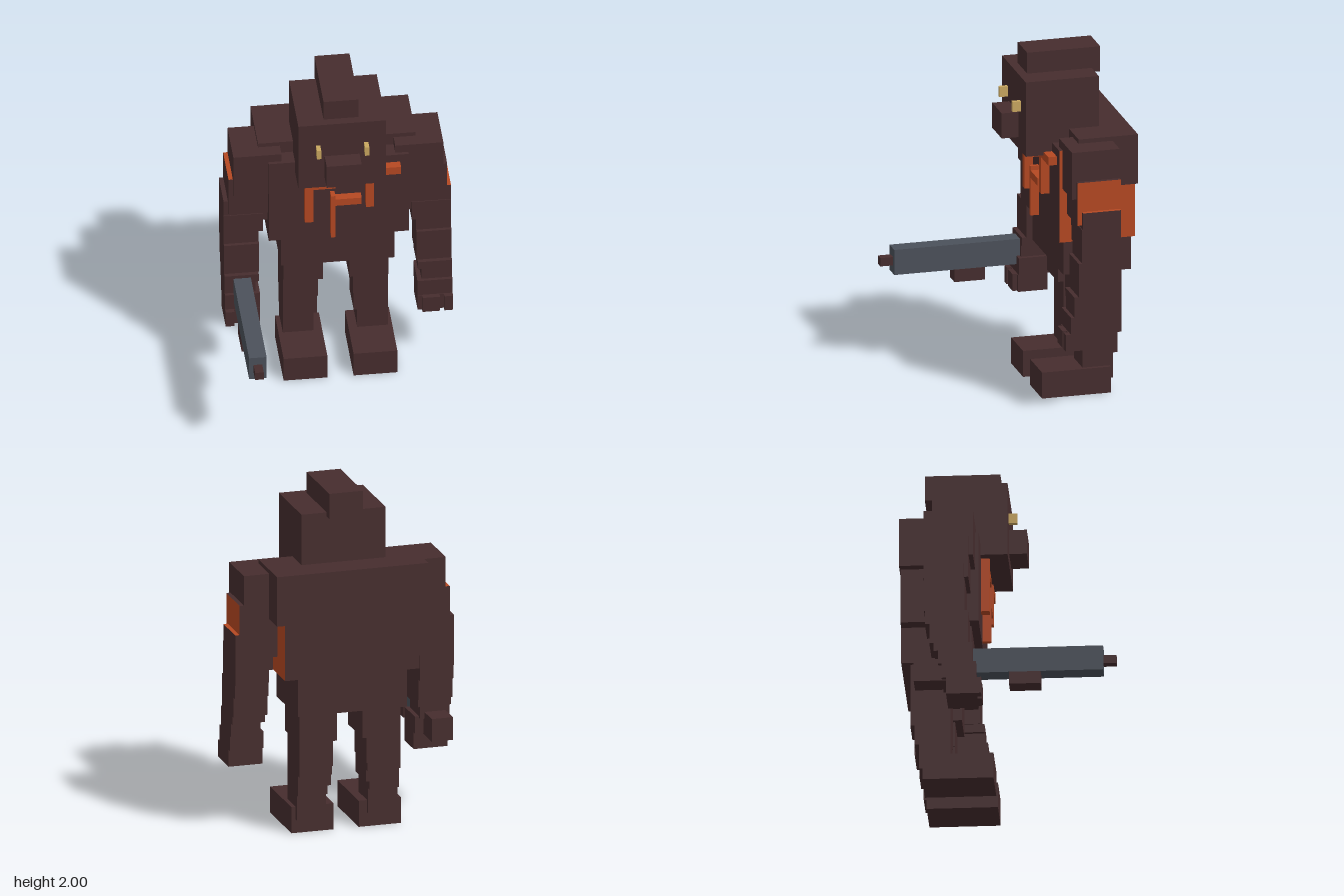
import * as THREE from 'three';

function material(name, color) {
  const m = new THREE.MeshStandardMaterial({ color });
  m.name = name;
  return m;
}

export function createModel() {
  const hide = material('dark brown hide', 0x462d2e);
  const lava = material('ember orange', 0xb54822);
  const steel = material('blue grey steel', 0x4b515a);
  const gold = material('pale gold', 0xc9a760);

  const model = new THREE.Group();
  model.name = 'blockyGiant';

  // Box from its extents; faces can override single sides (+x,-x,+y,-y,+z,-z)
  function box(parent, name, [x0, x1], [y0, y1], [z0, z1], mat = hide, faces = {}) {
    const geo = new THREE.BoxGeometry(Math.abs(x1 - x0), y1 - y0, z1 - z0);
    const mats = Array.from({ length: 6 }, (_, i) => faces[i] || mat);
    const mesh = new THREE.Mesh(geo, Object.keys(faces).length ? mats : mat);
    mesh.position.set((x0 + x1) / 2, (y0 + y1) / 2, (z0 + z1) / 2);
    mesh.name = name;
    parent.add(mesh);
    return mesh;
  }
  function group(name) {
    const g = new THREE.Group();
    g.name = name;
    model.add(g);
    return g;
  }

  // Head
  const head = group('head');
  box(head, 'skull', [-0.25, 0.25], [1.43, 1.875], [-0.45, -0.02]);
  box(head, 'crest', [-0.1, 0.1], [1.85, 2], [-0.5, -0.07]);
  box(head, 'snout', [-0.1, 0.1], [1.5, 1.65], [-0.02, 0.08]);

  // Torso, with one glowing flank
  const torso = group('torso');
  box(torso, 'chest', [-0.4, 0.4], [0.95, 1.5], [-0.62, -0.175], hide, { 0: lava });
  box(torso, 'upperBack', [-0.45, 0.45], [1.28, 1.575], [-0.625, -0.275]);
  box(torso, 'pelvis', [-0.325, 0.325], [0.73, 0.95], [-0.62, -0.22]);

  // Raised glowing cracks on the chest
  const cracks = [
    [-0.2, -0.15, 1.1, 1.45], [-0.15, -0.025, 1.33, 1.375],
    [0.15, 0.195, 1.18, 1.45], [0.195, 0.35, 1.4, 1.45],
    [-0.05, -0.025, 0.98, 1.275], [-0.025, 0.125, 1.205, 1.25],
  ];
  for (const [x0, x1, y0, y1] of cracks) {
    box(torso, 'chestCrack', [x0, x1], [y0, y1], [-0.175, -0.125], lava);
  }

  // Stepped limb segments: inner x, outer x, bottom, top, back, front
  const armSegments = [
    [0.325, 0.6, 1.27, 1.55, -0.475, -0.195],
    [0.375, 0.625, 1.12, 1.375, -0.475, -0.22],
    [0.4, 0.65, 1.05, 1.2, -0.47, -0.245],
    [0.425, 0.65, 0.975, 1.1, -0.47, -0.24],
    [0.45, 0.65, 0.9, 1.0, -0.47, -0.24],
    [0.45, 0.65, 0.82, 0.9, -0.465, -0.22],
    [0.45, 0.65, 0.7, 0.82, -0.44, -0.22],
    [0.455, 0.65, 0.65, 0.7, -0.415, -0.195],
    [0.475, 0.65, 0.57, 0.65, -0.39, -0.195],
    [0.45, 0.65, 0.48, 0.58, -0.37, -0.175],
    [0.45, 0.65, 0.38, 0.48, -0.345, -0.17],
  ];
  const legSegments = [
    [0.075, 0.3, 0.55, 0.74, -0.57, -0.3],
    [0.1, 0.3, 0.4, 0.55, -0.57, -0.34],
    [0.105, 0.3, 0.35, 0.4, -0.57, -0.34],
    [0.105, 0.3, 0.28, 0.35, -0.545, -0.34],
    [0.125, 0.3, 0.23, 0.28, -0.545, -0.34],
    [0.125, 0.3, 0.08, 0.23, -0.52, -0.34],
  ];

  for (const [side, s] of [['left', 1], ['right', -1]]) {
    box(head, side + 'Eye', [s * 0.125, s * 0.15], [1.67, 1.73], [-0.03, 0.03], gold);

    const arm = group(side + 'Arm');
    armSegments.forEach(([x0, x1, y0, y1, z0, z1], i) => {
      let faces = {};
      if (s > 0 && i === 1) faces = { 0: lava };
      if (s > 0 && i === 2) faces = { 2: lava };
      if (s < 0 && i === 1) faces = { 2: lava };
      box(arm, 'armSegment', [s * x0, s * x1], [y0, y1], [z0, z1], hide, faces);
    });
    box(arm, 'innerFinger', [s * 0.475, s * 0.575], [0.38, 0.48], [-0.2, -0.145]);
    box(arm, 'outerFinger', [s * 0.6, s * 0.65], [0.38, 0.48], [-0.2, -0.145]);

    const leg = group(side + 'Leg');
    for (const [x0, x1, y0, y1, z0, z1] of legSegments) {
      box(leg, 'legSegment', [s * x0, s * x1], [y0, y1], [z0, z1]);
    }
    box(leg, 'foot', [s * 0.075, s * 0.325], [0, 0.155], [-0.5, -0.095]);
  }

  // Long club-like gun held in the right hand
  const gun = group('gun');
  box(gun, 'gunBody', [-0.6, -0.5], [0.53, 0.68], [-0.3, 0.545], steel);
  box(gun, 'muzzle', [-0.575, -0.525], [0.58, 0.63], [0.545, 0.62]);
  box(gun, 'foreGrip', [-0.6, -0.5], [0.455, 0.53], [0.01, 0.19]);
  box(gun, 'stock', [-0.625, -0.5], [0.475, 0.61], [-0.53, -0.3]);

  return model;
}
